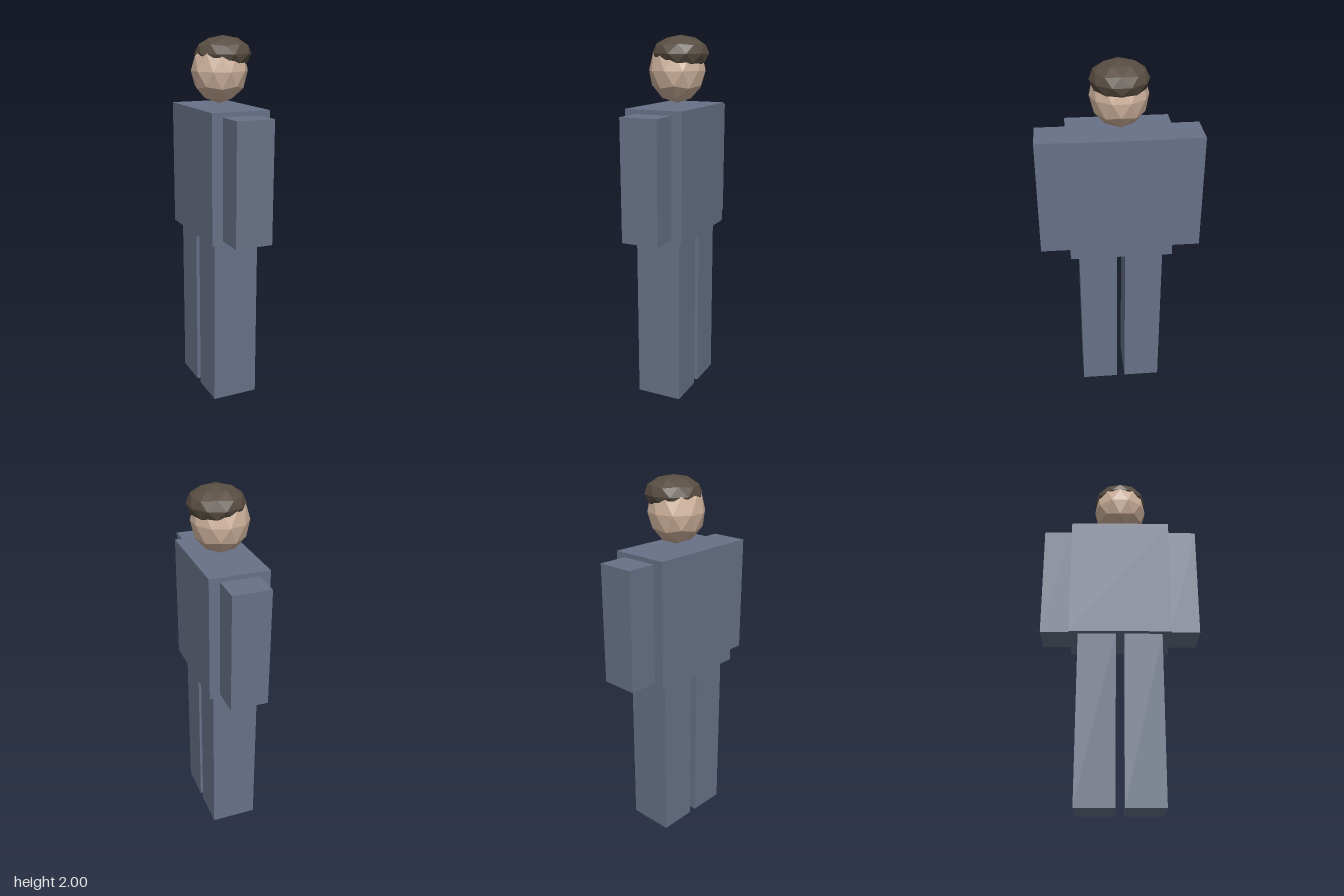
import * as THREE from 'three';

const flat = (name, color) => {
  const m = new THREE.MeshStandardMaterial({ color, flatShading: true });
  m.name = name;
  return m;
};

export function createModel() {
  const cloth = flat('slate cloth', 0x677187);
  const skin = flat('skin', 0xd0b39d);
  const hair = flat('dark hair', 0x584d42);
  const model = new THREE.Group();
  model.name = 'blockFigure';

  const add = (name, geometry, material, x, y, z) => {
    const mesh = new THREE.Mesh(geometry, material);
    mesh.name = name;
    mesh.position.set(x, y, z);
    model.add(mesh);
  };

  // Box given by its lowest and highest corners
  const block = (name, [x0, y0, z0], [x1, y1, z1]) => add(
    name, new THREE.BoxGeometry(x1 - x0, y1 - y0, z1 - z0), cloth,
    (x0 + x1) / 2, (y0 + y1) / 2, (z0 + z1) / 2);

  // Faceted ball with a corner at each pole, stretched to its radii
  const ball = (name, material, x, y, radius, height) => {
    const g = new THREE.IcosahedronGeometry(1, 1);
    g.rotateZ(Math.atan(2 / (1 + Math.sqrt(5))));
    g.scale(radius, height, radius);
    add(name, g, material, x, y, 0);
  };

  // Body: the torso is broad along z, with an arm and a leg on each side
  block('torso', [-0.17, 0.935, -0.28], [0.155, 1.63, 0.28]);
  for (const [side, s] of [['front', 1], ['back', -1]]) {
    const span = (a, b) => (s > 0 ? [a, b] : [-b, -a]);
    const [a0, a1] = span(0.28, 0.442);
    block(side + 'Arm', [-0.11, 0.957, a0], [0.097, 1.606, a1]);
    const [l0, l1] = span(0.023, 0.232);
    block(side + 'Leg', [-0.138, 0, l0], [0.118, 0.935, l1]);
  }

  // Head floating above the torso, with a flattened cap of hair
  ball('head', skin, -0.005, 1.817, 0.153, 0.172);
  ball('hair', hair, 0.015, 1.905, 0.153, 0.095);

  return model;
}
